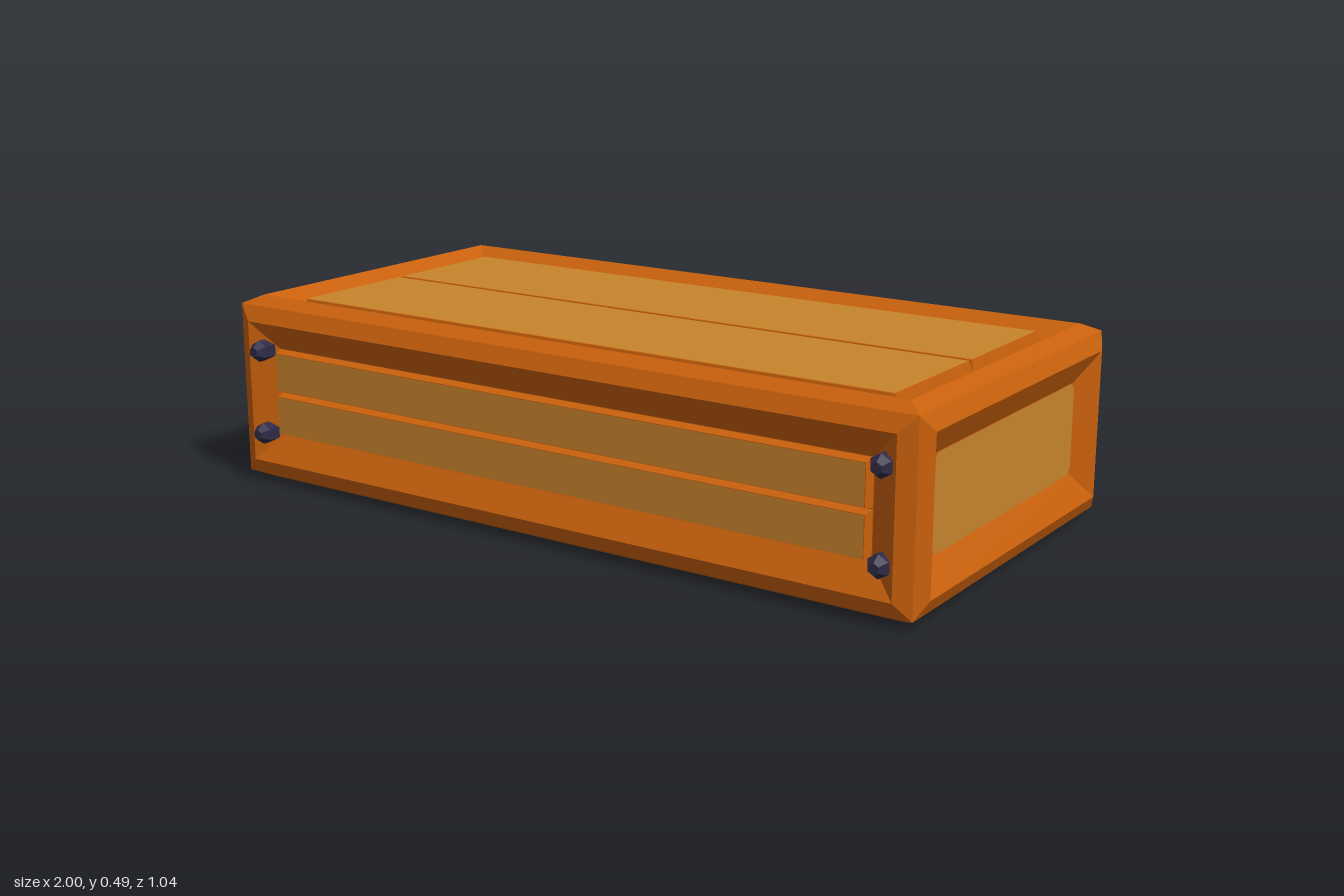
import * as THREE from 'three';

const mat = (name, color) => Object.assign(new THREE.MeshStandardMaterial({ color, flatShading: true }), { name });

export function createModel() {
  const orange = mat('orange frame', 0xc8600c);
  const tan = mat('tan wood', 0xc8842c);
  const dark = mat('dark bolt', 0x2e2a45);

  const H = { x: 1, y: 0.245, z: 0.5 };
  const crate = new THREE.Group();
  crate.name = 'crate';

  const add = (parent, geo, material, name, x = 0, y = 0, z = 0) => {
    const m = new THREE.Mesh(geo, material);
    m.name = name;
    m.position.set(x, y, z);
    parent.add(m);
    return m;
  };

  // Frame of one face: rounded edge, sloping inner side and recessed floor
  function frameGeometry(w, h, inset, depth) {
    const rings = [[0.02, -0.02], [0.06, 0], [inset, -depth]].map(([i, z]) =>
      [[-1, -1], [1, -1], [1, 1], [-1, 1]].map(([sx, sy]) => [sx * (w - i), sy * (h - i), z]));
    const pos = [];
    const quad = (a, b, c, d) => pos.push(...a, ...b, ...c, ...a, ...c, ...d);
    for (let r = 0; r < 2; r++) {
      for (let k = 0; k < 4; k++) {
        const n = (k + 1) % 4;
        quad(rings[r][k], rings[r][n], rings[r + 1][n], rings[r + 1][k]);
      }
    }
    quad(...rings[2]);
    const g = new THREE.BufferGeometry();
    g.setAttribute('position', new THREE.Float32BufferAttribute(pos, 3));
    g.computeVertexNormals();
    return g;
  }

  // Flat panel with clipped-round corners
  function panelGeometry(w, h, r) {
    const s = new THREE.Shape();
    s.absarc(w - r, h - r, r, 0, Math.PI / 2);
    s.absarc(-w + r, h - r, r, Math.PI / 2, Math.PI);
    s.absarc(-w + r, -h + r, r, Math.PI, Math.PI * 1.5);
    s.absarc(w - r, -h + r, r, Math.PI * 1.5, Math.PI * 2);
    return new THREE.ShapeGeometry(s, 4);
  }

  // Two raised boards: orange bevelled body with a tan top plate
  function addPlanks(face, w, h) {
    const W = w - 0.13, bh = (h - 0.13) / 2;
    for (const s of [-1, 1]) {
      const body = new THREE.BoxGeometry(W * 2, bh * 2, 0.03);
      const p = body.attributes.position;
      for (let i = 0; i < p.count; i++) {
        if (p.getZ(i) > 0) {
          p.setX(i, p.getX(i) - Math.sign(p.getX(i)) * 0.008);
          p.setY(i, p.getY(i) - Math.sign(p.getY(i)) * 0.008);
        }
      }
      body.computeVertexNormals();
      add(face, body, orange, 'plankEdge', 0, s * bh, -0.031);
      add(face, new THREE.PlaneGeometry(W * 2 - 0.018, bh * 2 - 0.018), tan, 'plankTop', 0, s * bh, -0.0145);
    }
  }

  // Hexagonal bolts at the four corners of a face
  function addBolts(face) {
    for (const x of [-0.905, 0.905]) {
      for (const y of [-0.11, 0.11]) {
        const shank = new THREE.CylinderGeometry(0.028, 0.028, 0.05, 6, 1, true).rotateX(Math.PI / 2);
        const head = new THREE.CylinderGeometry(0.014, 0.028, 0.02, 6).rotateX(Math.PI / 2);
        add(face, shank, dark, 'boltShank', x, y, -0.025);
        add(face, head, dark, 'boltHead', x, y, 0.01);
      }
    }
  }

  // Six faces: name, half width, half height, distance, rotation, kind
  const q = Math.PI / 2;
  const faces = [
    ['front', H.x, H.y, [0, 0, H.z], [0, 0, 0], 'bolted'],
    ['back', H.x, H.y, [0, 0, -H.z], [0, Math.PI, 0], 'bolted'],
    ['top', H.x, H.z, [0, H.y, 0], [-q, 0, 0], 'planks'],
    ['bottom', H.x, H.z, [0, -H.y, 0], [q, 0, 0], 'base'],
    ['leftSide', H.z, H.y, [H.x, 0, 0], [0, q, 0], 'panel'],
    ['rightSide', H.z, H.y, [-H.x, 0, 0], [0, -q, 0], 'panel'],
  ];
  for (const [name, w, h, at, rot, kind] of faces) {
    const face = new THREE.Group();
    face.name = name;
    face.position.set(...at);
    face.position.y += H.y;
    face.rotation.set(...rot);
    const inset = kind === 'base' ? 0.11 : 0.13;
    const depth = kind === 'base' ? 0.025 : 0.04;
    add(face, frameGeometry(w, h, inset, depth), orange, name + 'Frame');
    if (kind === 'bolted' || kind === 'planks') addPlanks(face, w, h);
    else add(face, panelGeometry(w - inset, h - inset, kind === 'base' ? 0.005 : 0.025), tan, name + 'Panel', 0, 0, -depth + 0.003);
    if (kind === 'bolted') addBolts(face);
    crate.add(face);
  }
  return crate;
}
